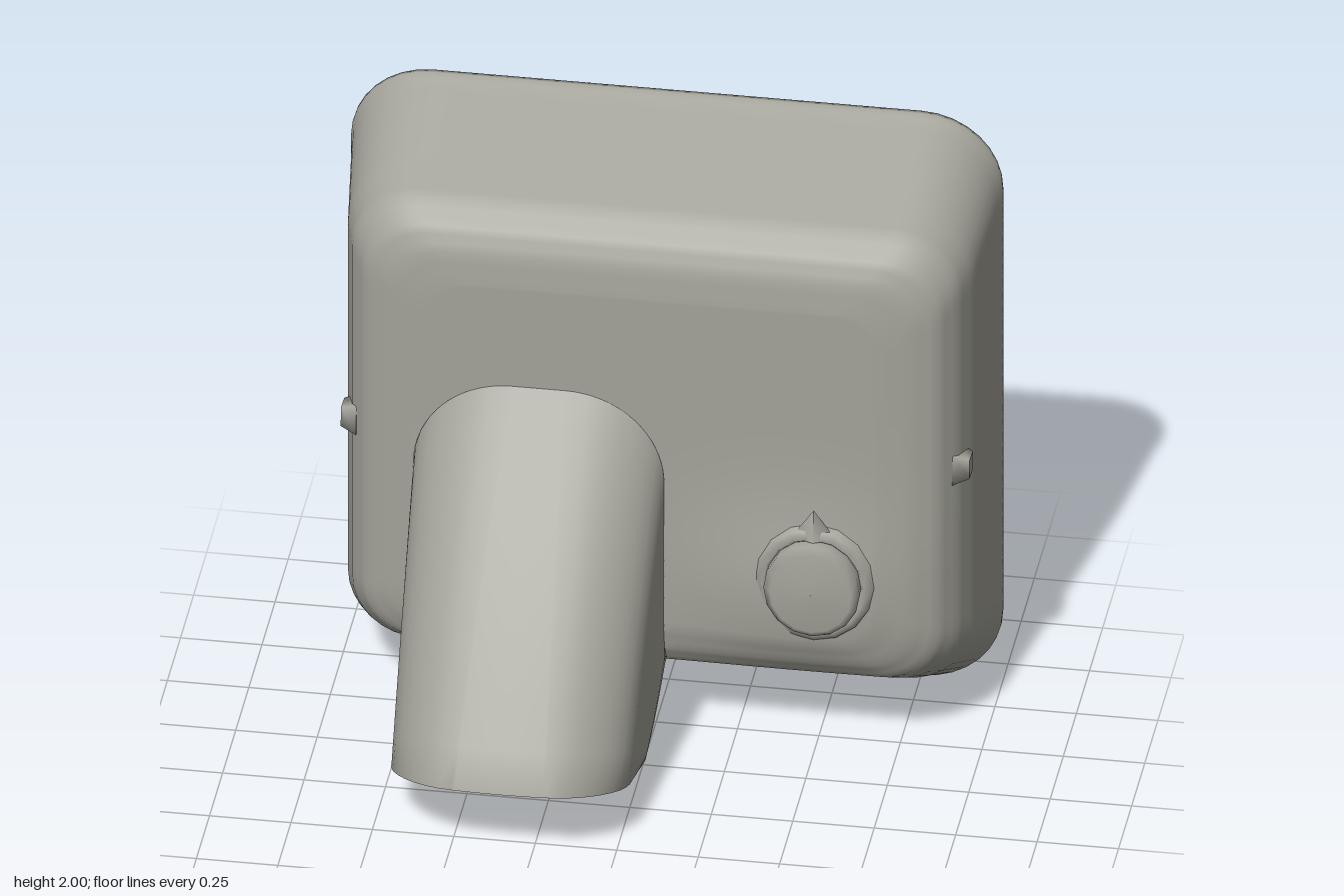
import * as THREE from 'three';

const lerp = THREE.MathUtils.lerp;
const casing = new THREE.MeshStandardMaterial({ color: 0xa3a299, side: THREE.DoubleSide });
casing.name = 'warm grey casing';

// Outline of the place where the spout meets the housing
const FOOT = { x0: -0.725, x1: 0.045, y0: 0.15, y1: 1.23, rb: 0.15, rt: 0.3 };

// Counterclockwise rounded rectangle with separate top and bottom radii
function outline({ x0, x1, y0, y1, rb, rt }, side = 30, arc = 8) {
  const corners = [
    [x1 - rb, y0 + rb, rb, -Math.PI / 2], [x1 - rt, y1 - rt, rt, 0],
    [x0 + rt, y1 - rt, rt, Math.PI / 2], [x0 + rb, y0 + rb, rb, Math.PI],
  ];
  const at = ([cx, cy, r, a], t) => [cx + r * Math.cos(a + t * Math.PI / 2), cy + r * Math.sin(a + t * Math.PI / 2)];
  const pts = [];
  corners.forEach((c, k) => {
    for (let i = 0; i < arc; i++) pts.push(at(c, i / arc));
    const p = at(c, 1), q = at(corners[(k + 1) % 4], 0);
    for (let i = 0; i < side; i++) pts.push([lerp(p[0], q[0], i / side), lerp(p[1], q[1], i / side)]);
  });
  return pts;
}

// Signed distance to the spout outline, negative inside
function footDistance(x, y) {
  const cy = (FOOT.y0 + FOOT.y1) / 2, r = y > cy ? FOOT.rt : FOOT.rb;
  const qx = Math.abs(x - (FOOT.x0 + FOOT.x1) / 2) - (FOOT.x1 - FOOT.x0) / 2 + r;
  const qy = Math.abs(y - cy) - (FOOT.y1 - FOOT.y0) / 2 + r;
  return Math.min(Math.max(qx, qy), 0) + Math.hypot(Math.max(qx, 0), Math.max(qy, 0)) - r;
}

// Skin a list of closed loops, optionally leaving out marked points
function skin(loops, dropped = () => false) {
  const n = loops[0].length, index = [];
  const tri = (...t) => { if (!t.some(dropped)) index.push(...t); };
  for (let i = 0; i < loops.length - 1; i++) {
    for (let j = 0; j < n; j++) {
      const k = (j + 1) % n;
      const a = i * n + j, b = i * n + k, c = (i + 1) * n + k, d = (i + 1) * n + j;
      tri(a, d, b);
      tri(b, d, c);
    }
  }
  const g = new THREE.BufferGeometry();
  g.setAttribute('position', new THREE.Float32BufferAttribute(loops.flat(2), 3));
  g.setIndex(index);
  g.computeVertexNormals();
  return g;
}

function mesh(name, geometry, parent) {
  const m = new THREE.Mesh(geometry, casing);
  m.name = name;
  parent.add(m);
  return m;
}

// Hollow housing, open at the back, with a hole for the spout
function housingGeometry() {
  // half width, bottom, top, corner radius, z, bulge weight, steps to next
  const rows = [
    [0.70, 0.42, 1.58, 0.12, -0.125, 1, 3],
    [0.80, 0.34, 1.68, 0.15, -0.138, 0.7, 3],
    [0.88, 0.28, 1.75, 0.18, -0.17, 0.3, 3],
    [0.93, 0.235, 1.81, 0.2, -0.24, 0, 4],
    [0.96, 0.175, 1.855, 0.22, -0.34, 0, 8],
    [0.995, 0.01, 1.99, 0.25, -0.63, 0, 1],
    [1.0, 0, 2, 0.25, -0.645, 0, 1],
    [1.0, 0, 2, 0.25, -0.66, 0, 1],
  ];
  const section = (inset) => ([w, b, t, r, z, bulge, steps]) => ({
    x0: -w + inset, x1: w - inset, y0: b + inset, y1: t - inset,
    rb: r, rt: r, z: Math.max(z - inset, -0.66), bulge, steps,
  });
  const centre = (inset) => ({ x0: 0.3, x1: 0.3, y0: 1.2, y1: 1.2, rb: 0, rt: 0, z: -0.125 - inset, bulge: 1, steps: 30 });
  const outer = [centre(0), ...rows.map(section(0))];
  const inner = [centre(0.03), ...rows.map(section(0.03))].reverse();
  // walking inwards, each section uses the step count of the next one
  inner.forEach((s, i) => { s.steps = inner[i + 1] ? inner[i + 1].steps : 1; });
  const sections = [...outer, ...inner];

  const loops = [], gone = [];
  sections.forEach((s, i) => {
    const e = sections[i + 1] ?? s, steps = sections[i + 1] ? s.steps : 1;
    for (let k = 0; k < steps; k++) {
      const m = {};
      for (const key of Object.keys(s)) m[key] = lerp(s[key], e[key], k / steps);
      loops.push(outline(m).map(([x, y]) => {
        let z = m.z + m.bulge * 0.055 * Math.exp(-(((x - 0.45) / 0.36) ** 2) - ((y - 0.58) / 0.28) ** 2);
        const d0 = footDistance(x, y), yOld = y;
        gone.push(d0 < -0.065);
        // pull points just inside the hole onto its edge
        if (d0 < 0 && d0 >= -0.065) {
          for (let it = 0; it < 3; it++) {
            const d = footDistance(x, y), h = 1e-4;
            const gx = (footDistance(x + h, y) - d) / h, gy = (footDistance(x, y + h) - d) / h;
            x -= d * gx;
            y -= d * gy;
          }
          if (yOld < 0.3) z += (y - yOld) * 1.8;
        }
        return [x, y, z];
      }));
    }
  });
  return skin(loops, (v) => gone[v]);
}

// Hollow slanting spout from the housing to its tilted mouth
function spoutGeometry() {
  const root = outline(FOOT).map(([x, y]) => [x, y, Math.min(-0.13, -0.66 + 1.82 * y)]);
  const mouth = (inset) => outline({
    x0: -0.705 + inset, x1: 0.025 - inset, y0: inset, y1: 0.66 - inset, rb: 0.12, rt: 0.22,
  }).map(([x, z]) => {
    // gently rounded front lip
    const zz = z - 0.05 * Math.max(0, z / 0.66) * ((x + 0.34) / 0.36) ** 2;
    return [x, 0.05 + 0.32 * zz, zz];
  });
  const steps = 10;
  const wall = (end, thick) => Array.from({ length: steps + 1 }, (_, i) => {
    const t = i / steps, bow = Math.sin(Math.PI * t);
    return root.map((p, j) => {
      const v = (p[1] - FOOT.y0) / 1.08;
      return [
        lerp(p[0], end[j][0], t),
        lerp(p[1], end[j][1], t) + bow * (0.045 * v * v - 0.03 * (1 - v) ** 4),
        lerp(p[2], end[j][2], t) - (1 - t) * thick,
      ];
    });
  });
  return skin([...wall(mouth(0.03), 0.03), ...wall(mouth(0), 0).reverse()]);
}

export function createModel() {
  const model = new THREE.Group();
  model.name = 'handDryerCover';
  mesh('housing', housingGeometry(), model);
  mesh('spout', spoutGeometry(), model);

  // Grille bars lying in the tilted mouth
  const grille = new THREE.Group();
  grille.name = 'mouthGrille';
  grille.position.set(-0.34, 0.06, 0);
  grille.rotation.x = -Math.atan(0.32);
  model.add(grille);
  mesh('longBar', new THREE.BoxGeometry(0.025, 0.035, 0.64), grille).position.set(-0.055, 0.015, 0.34);
  for (const z of [0.23, 0.45]) {
    mesh('crossBar', new THREE.BoxGeometry(0.68, 0.035, 0.02), grille).position.set(0, 0.015, z);
  }

  // Round push button with a raised collar
  const button = new THREE.Group();
  button.name = 'pushButton';
  button.position.set(0.51, 0.64, -0.1);
  button.rotation.x = Math.PI / 2;
  model.add(button);
  const ring = [[0.2, -0.03], [0.18, 0.02], [0.155, 0.03], [0.145, 0.015]];
  const cap = [[0.145, 0], [0.148, 0.055], [0.125, 0.075], [0.001, 0.08]];
  for (const [name, profile] of [['buttonCollar', ring], ['buttonCap', cap]]) {
    const points = profile.map((p) => new THREE.Vector2(...p));
    mesh(name, new THREE.LatheGeometry(points, 16), button).scale.z = 1.08;
  }
  const peak = mesh('collarPeak', new THREE.ConeGeometry(0.07, 0.1, 4), model);
  peak.position.set(0.51, 0.85, -0.09);
  peak.scale.z = 0.4;

  // Square screw bosses on both sides
  for (const s of [-1, 1]) {
    const boss = mesh('sideBoss', new THREE.CylinderGeometry(0.045, 0.07, 0.05, 4), model);
    boss.position.set(s * 0.94, 1, -0.265);
    boss.rotation.set(0.7, 0, -s * Math.PI / 2);
  }
  return model;
}
